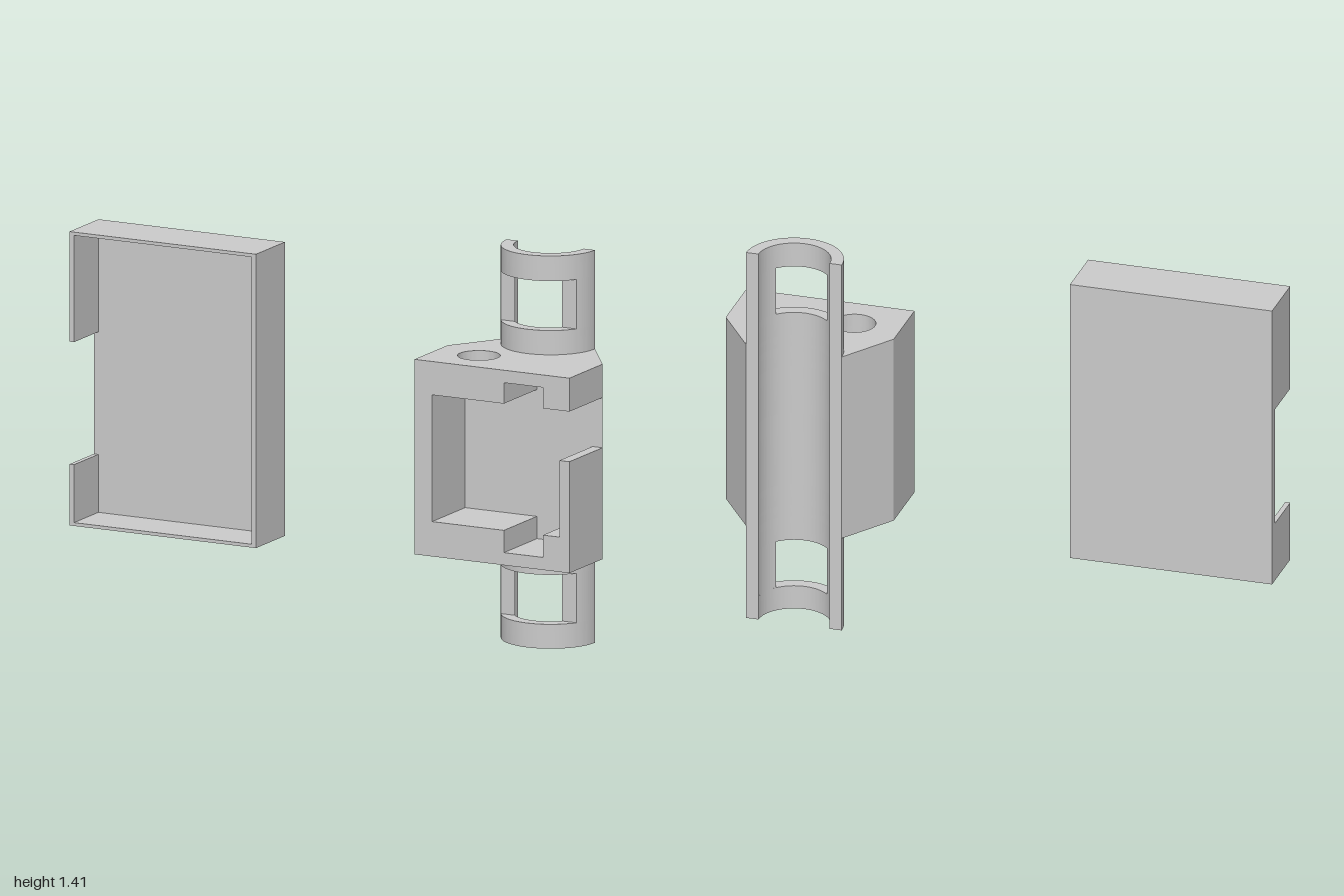
import * as THREE from 'three';
import { toCreasedNormals } from 'three/addons/utils/BufferGeometryUtils.js';

const material = new THREE.MeshStandardMaterial({ color: 0xcccccc });

// Saddle cross-section, drawn in plan: shape x = x, shape y = -z
const CX = 0.69, CB = 0.22, RO = 0.175, RI = 0.13, SILL = 0.09;
const FRONT = -0.22, POCKET = 0.025;

function extrude(shape, depth) {
  return toCreasedNormals(
    new THREE.ExtrudeGeometry(shape, { depth, bevelEnabled: false, curveSegments: 32 }), 0.5);
}

// Extrude a plan shape upward between two heights
function addLayer(group, name, shape, y0, y1) {
  const geometry = extrude(shape, y1 - y0);
  geometry.rotateX(-Math.PI / 2);
  geometry.translate(0, y0, 0);
  const mesh = new THREE.Mesh(geometry, material);
  mesh.name = name;
  group.add(mesh);
}

// Half ring seen from above
function halfRing() {
  const s = new THREE.Shape();
  s.absarc(CX, CB, RO, Math.PI, 2 * Math.PI, false);
  s.absarc(CX, CB, RI, 0, -Math.PI, true);
  s.closePath();
  return s;
}

// What remains of the half ring beside a window: one jamb per side
function jambs() {
  const ao = Math.asin(SILL / RO), ai = Math.asin(SILL / RI);
  const left = new THREE.Shape();
  left.absarc(CX, CB, RO, -ao, 0, false);
  left.absarc(CX, CB, RI, 0, -ai, true);
  left.closePath();
  const right = new THREE.Shape();
  right.absarc(CX, CB, RO, Math.PI, Math.PI + ao, false);
  right.absarc(CX, CB, RI, Math.PI + ai, Math.PI, true);
  right.closePath();
  return [left, right];
}

// Block plan with the rear channel, an optional front cut and an optional round hole
function blockPlan(cut, hole) {
  const s = new THREE.Shape();
  s.moveTo(0.385, FRONT);
  if (cut) {
    const [x0, x1] = cut;
    s.lineTo(x0, FRONT);
    s.lineTo(x0, POCKET);
    s.lineTo(x1, POCKET);
    if (x1 < 1) s.lineTo(x1, FRONT);
  }
  if (!cut || cut[1] < 1) {
    s.lineTo(1, FRONT);
    s.lineTo(1, POCKET);
  }
  s.lineTo(CX + RO, CB);
  s.lineTo(CX + RI, CB);
  s.absarc(CX, CB, RI, 0, -Math.PI, true);
  s.lineTo(CX - RO, CB);
  s.lineTo(0.385, POCKET);
  s.closePath();
  if (hole) {
    const h = new THREE.Path();
    h.absarc(0.555, -0.06, 0.075, 0, 2 * Math.PI, true);
    s.holes.push(h);
  }
  return s;
}

function createHolder() {
  const holder = new THREE.Group();
  holder.name = 'holder';

  // Block, stacked from plan layers
  const block = new THREE.Group();
  block.name = 'block';
  const notch = [0.74, 0.895];
  const layers = [
    ['base', null, false, 0.355, 0.40],
    ['lowerNotch', notch, false, 0.40, 0.48],
    ['pocketWalls', [0.455, 0.96], false, 0.48, 0.755],
    ['sideOpening', [0.455, 1], false, 0.755, 0.935],
    ['upperNotch', notch, true, 0.935, 1.01],
    ['cover', null, true, 1.01, 1.055],
  ];
  for (const [name, cut, hole, y0, y1] of layers) addLayer(block, name, blockPlan(cut, hole), y0, y1);
  holder.add(block);

  // Windowed half tubes below and above the block
  for (const [name, y] of [['lowerSaddle', 0], ['upperSaddle', 1.055]]) {
    const saddle = new THREE.Group();
    saddle.name = name;
    addLayer(saddle, 'lowerBand', halfRing(), y, y + 0.0875);
    addLayer(saddle, 'jambs', jambs(), y + 0.0875, y + 0.265);
    addLayer(saddle, 'upperBand', halfRing(), y + 0.265, y + 0.355);
    holder.add(saddle);
  }
  return holder;
}

function createTray() {
  const tray = new THREE.Group();
  tray.name = 'tray';
  const x0 = -1, x1 = -0.26, y0 = 0.3, y1 = 1.355;
  const back = -0.025, floor = 0.01, front = 0.19;

  // Back plate
  const plate = new THREE.Mesh(new THREE.BoxGeometry(x1 - x0, y1 - y0, floor - back), material);
  plate.position.set((x0 + x1) / 2, (y0 + y1) / 2, (back + floor) / 2);
  plate.name = 'backPlate';
  tray.add(plate);

  // Rim, open on one side for access
  const t = 0.018, h = 0.012, gap0 = 0.52, gap1 = 0.96;
  const outline = [
    [x0, gap0], [x0, y0], [x1, y0], [x1, y1], [x0, y1], [x0, gap1],
    [x0 + t, gap1], [x0 + t, y1 - h], [x1 - t, y1 - h],
    [x1 - t, y0 + h], [x0 + t, y0 + h], [x0 + t, gap0],
  ].map(([x, y]) => new THREE.Vector2(x, y));
  const rim = new THREE.Mesh(extrude(new THREE.Shape(outline), front - floor), material);
  rim.position.z = floor;
  rim.name = 'rim';
  tray.add(rim);
  return tray;
}

export function createModel() {
  const model = new THREE.Group();
  model.name = 'trayAndHolder';
  model.add(createTray(), createHolder());
  return model;
}
